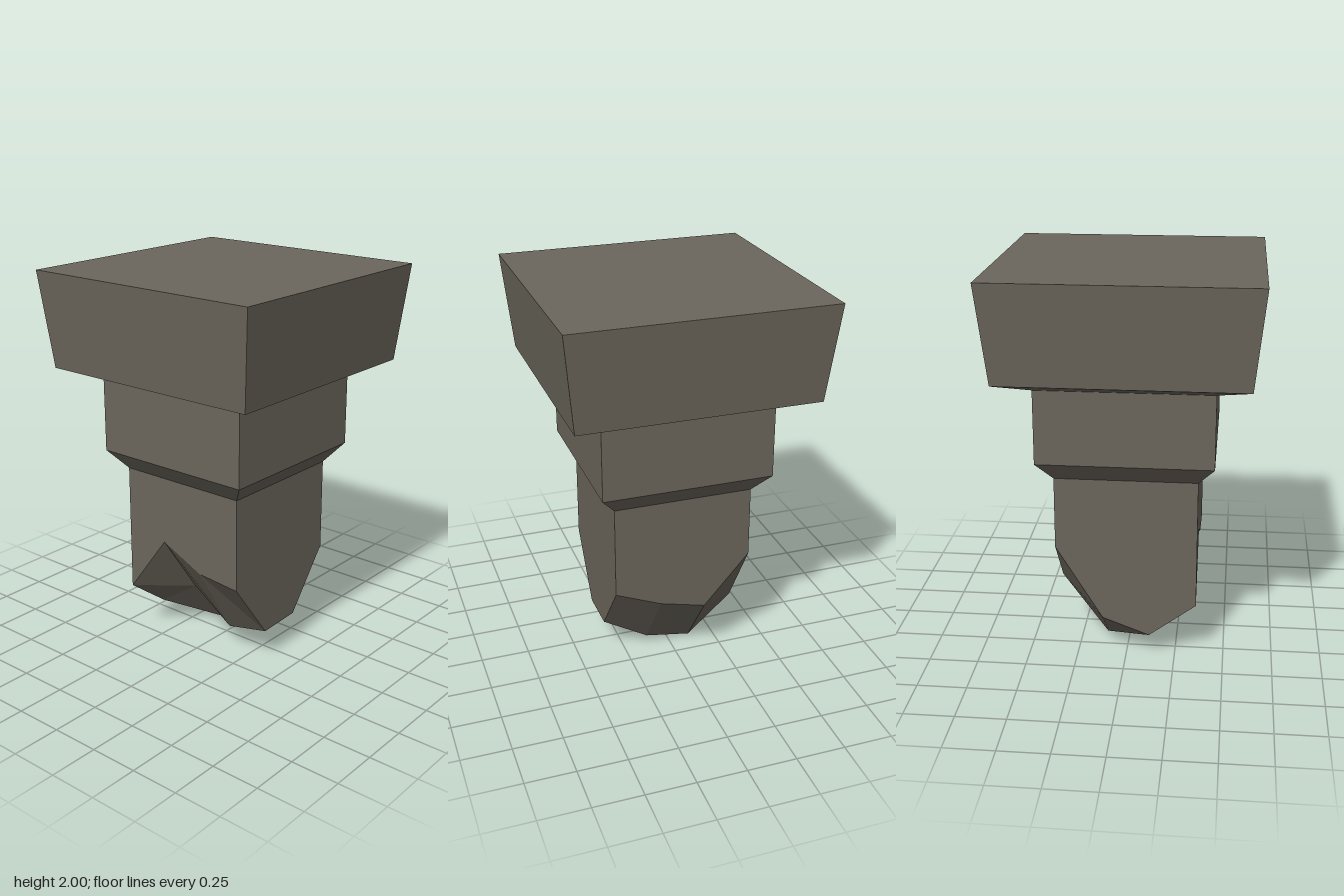
import * as THREE from 'three';

const stone = new THREE.MeshStandardMaterial({ color: 0x6b665c });
stone.name = 'greyBrownStone';

const BODY = 0.357; // half width of the lower shaft
const SHAFT_TOP = 0.97;

// Heights of the broken underside: rows from back to front, columns from -x to +x
const BROKEN = [
  [0.30, 0.12, 0.21, 0.60],
  [0.62, 0.28, 0.00, 0.33],
  [0.51, 0.12, 0.04, 0.39],
  [0.49, 0.17, 0.18, 0.49],
];

function facetedMesh(geometry, name) {
  const flat = geometry.toNonIndexed();
  flat.computeVertexNormals();
  const mesh = new THREE.Mesh(flat, stone);
  mesh.name = name;
  return mesh;
}

// Square stepped section from [half width, height] pairs, bottom to top
function squareSection(profile, name) {
  const points = profile.map(([half, y]) => new THREE.Vector2(half * Math.SQRT2, y));
  return facetedMesh(new THREE.LatheGeometry(points, 4, Math.PI / 4), name);
}

// Square shaft whose bottom grid is pushed into a jagged break
function brokenShaft() {
  const geometry = new THREE.BoxGeometry(BODY * 2, SHAFT_TOP, BODY * 2, 3, 1, 3);
  geometry.translate(0, SHAFT_TOP / 2, 0);
  const pos = geometry.attributes.position;
  const cell = (v) => Math.round(((v + BODY) / (2 * BODY)) * 3);
  for (let i = 0; i < pos.count; i++) {
    if (pos.getY(i) < 0.01) pos.setY(i, BROKEN[cell(pos.getZ(i))][cell(pos.getX(i))]);
  }
  return facetedMesh(geometry, 'brokenShaft');
}

export function createModel() {
  const group = new THREE.Group();
  group.name = 'brokenPillar';

  group.add(brokenShaft());

  // Thicker collar with a bevel below it
  group.add(squareSection([[BODY, SHAFT_TOP], [0.437, 1.07], [0.437, 1.446]], 'collar'));

  // Flared capital with a flat top
  group.add(squareSection([[0.437, 1.446], [0.603, 1.511], [0.652, 2], [0, 2]], 'capital'));

  return group;
}
